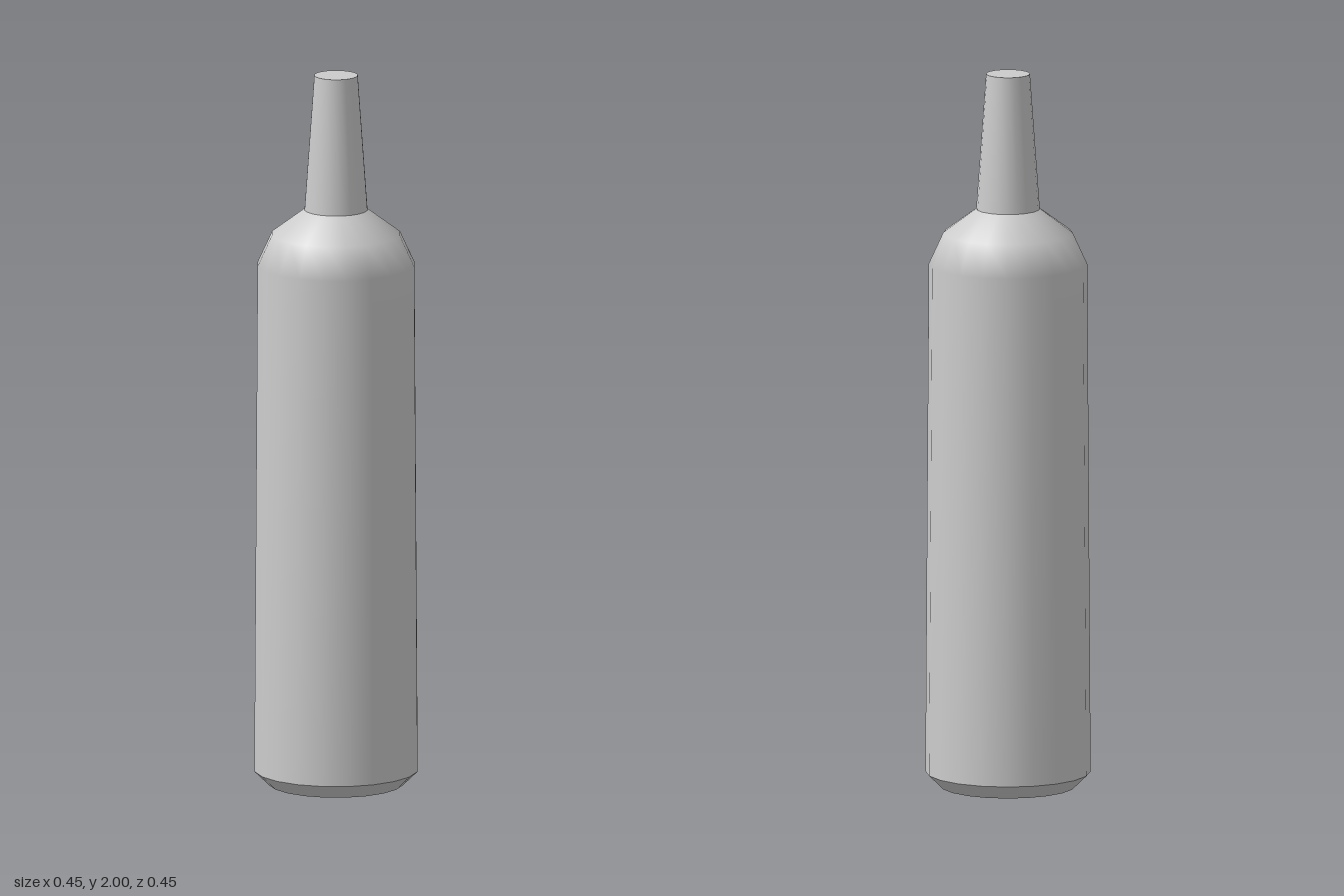
import * as THREE from 'three';

const SIDES = 20;

// Turned section; points run bottom to top as [radius, height]
function turned(name, points, material) {
  const profile = points.map(([r, y]) => new THREE.Vector2(r, y));
  const mesh = new THREE.Mesh(new THREE.LatheGeometry(profile, SIDES), material);
  mesh.name = name;
  return mesh;
}

export function createModel() {
  const group = new THREE.Group();
  group.name = 'bottle';
  const material = new THREE.MeshStandardMaterial({ color: 0xcccccc });

  // Separate sections keep the edges between them sharp
  const sections = {
    // slightly domed underside
    base: [[0, 0], [0.1, 0.004], [0.185, 0.016]],
    // bevel around the foot
    footBevel: [[0.185, 0.016], [0.226, 0.056]],
    // gently tapering body flowing into the rounded shoulder
    body: [[0.226, 0.056], [0.217, 1.47], [0.177, 1.557], [0.087, 1.624]],
    // tapered neck
    neck: [[0.087, 1.624], [0.06, 2]],
    // flat closed top
    neckCap: [[0.06, 2], [0, 2]],
  };
  for (const [name, points] of Object.entries(sections)) {
    group.add(turned(name, points, material));
  }
  return group;
}
